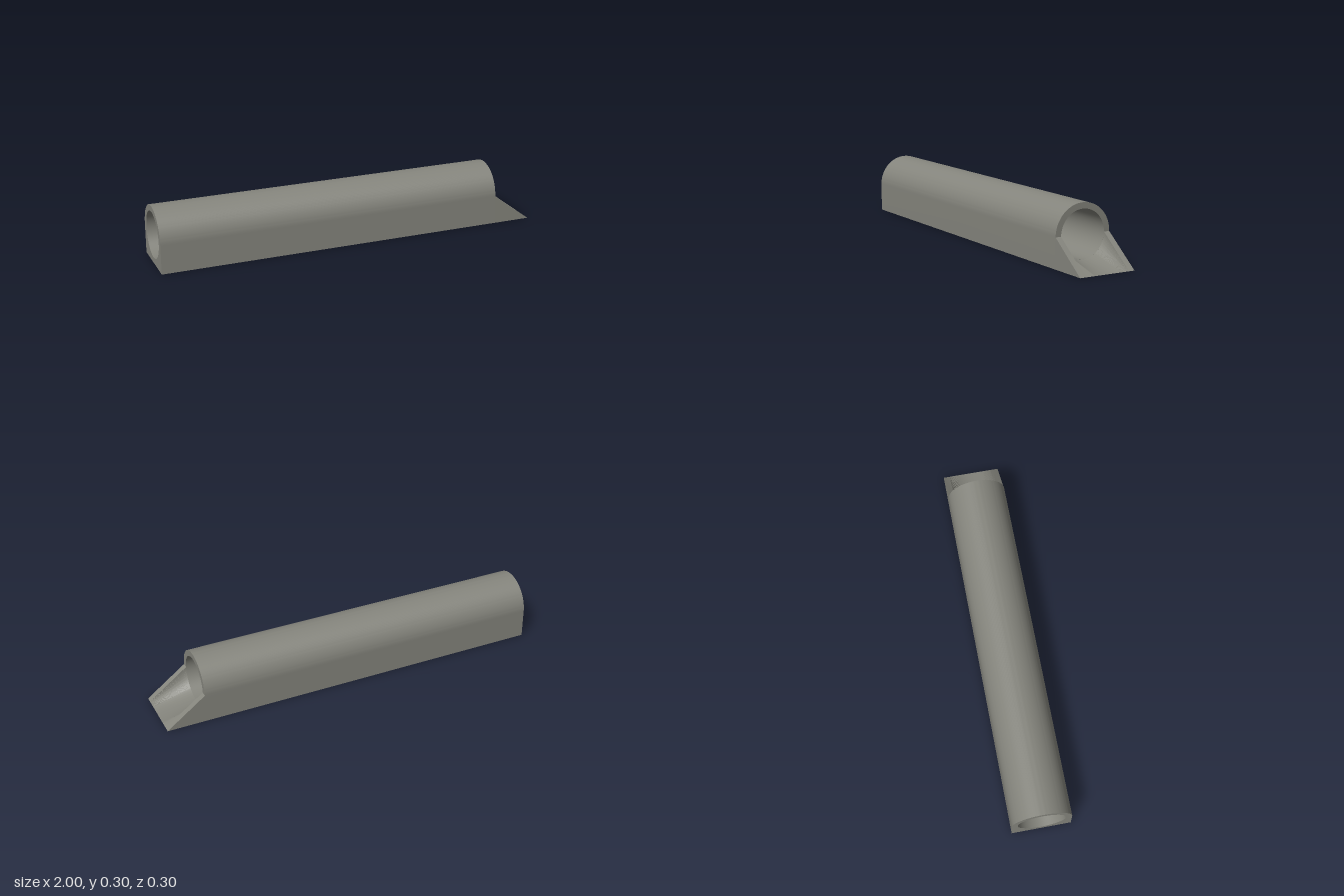
import * as THREE from 'three';
import { toCreasedNormals } from 'three/addons/utils/BufferGeometryUtils.js';

const R = 0.15, BORE = 0.12, MID = 0.15;   // outer radius, bore radius, axis height
const BACK = -1, MOUTH = 0.8, TIP = 1;     // stations along x

// Extrude a cross-section along +x between two stations
function extrudeAlongX(shape, from, to) {
  const geo = new THREE.ExtrudeGeometry(shape, { depth: to - from, bevelEnabled: false, curveSegments: 32 });
  return geo.rotateY(Math.PI / 2).translate(from, 0, 0);
}

// Square-footed arch with a round bore
function pipeSection() {
  const s = new THREE.Shape();
  s.moveTo(-R, 0);
  s.lineTo(R, 0);
  s.lineTo(R, MID);
  s.absarc(0, MID, R, 0, Math.PI, false);
  s.lineTo(-R, 0);
  const hole = new THREE.Path();
  hole.absarc(0, MID, BORE, 0, Math.PI * 2, true);
  s.holes.push(hole);
  return s;
}

// Lower half of the same section: an open trough
function troughSection() {
  const s = new THREE.Shape();
  s.moveTo(-R, 0);
  s.lineTo(R, 0);
  s.lineTo(R, MID);
  s.lineTo(BORE, MID);
  s.absarc(0, MID, BORE, 0, -Math.PI, true);
  s.lineTo(-R, MID);
  s.lineTo(-R, 0);
  return s;
}

export function createModel() {
  const group = new THREE.Group();
  group.name = 'culvert';
  const concrete = new THREE.MeshStandardMaterial({ color: 0x85857d });
  concrete.name = 'concrete grey';

  const add = (name, geo) => {
    const mesh = new THREE.Mesh(toCreasedNormals(geo, 0.6), concrete);
    mesh.name = name;
    group.add(mesh);
  };

  // Main pipe
  add('pipeBody', extrudeAlongX(pipeSection(), BACK, MOUTH));

  // Outlet trough, flattened to a knife edge at its tip
  const spout = extrudeAlongX(troughSection(), MOUTH, TIP);
  const pos = spout.attributes.position;
  for (let i = 0; i < pos.count; i++) {
    if (pos.getX(i) > (MOUTH + TIP) / 2) pos.setY(i, 0);
  }
  add('outletSpout', spout);

  return group;
}
